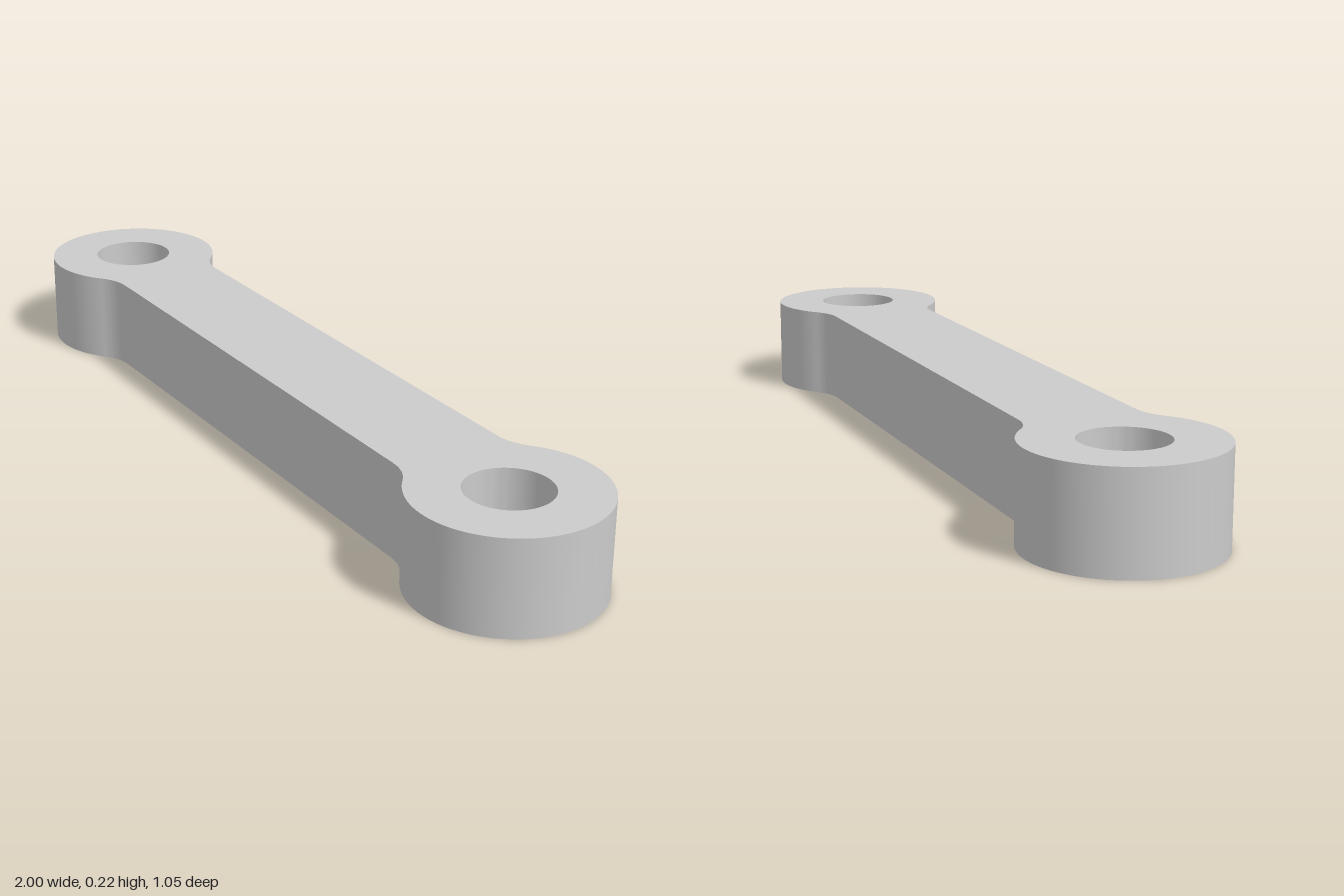
import * as THREE from 'three';
import { toCreasedNormals } from 'three/addons/utils/BufferGeometryUtils.js';

const HEIGHT = 0.22;
const EYE_X = 0.785, EYE_Z = 0.311;   // centre of one eye, the other is opposite
const EYE_R = 0.215, HOLE_R = 0.097;
const BAR_HALF = 0.133, FILLET = 0.12;

export function createModel() {
  const group = new THREE.Group();
  group.name = 'connectingLink';

  const reach = Math.hypot(EYE_X, EYE_Z);
  const fy = BAR_HALF + FILLET;                          // fillet centre, off the bar axis
  const a = Math.sqrt((EYE_R + FILLET) ** 2 - fy ** 2);  // fillet centre, along the bar from the eye
  const fx = reach - a;
  const beta = Math.atan2(fy, -a);

  // Outline along the bar axis: eye, fillet, straight edge, fillet, then the same turned half round
  const outline = new THREE.Shape();
  for (const [s, turn] of [[1, 0], [-1, Math.PI]]) {
    outline.absarc(s * reach, 0, EYE_R, turn - beta, turn + beta, false);
    outline.absarc(s * fx, s * fy, FILLET, turn + beta - Math.PI, turn - Math.PI / 2, true);
    outline.absarc(-s * fx, s * fy, FILLET, turn - Math.PI / 2, turn - beta, true);
  }

  // Pin holes
  for (const s of [1, -1]) {
    const hole = new THREE.Path();
    hole.absarc(s * reach, 0, HOLE_R, 0, Math.PI * 2, true);
    outline.holes.push(hole);
  }

  // Lay the extrusion flat and swing it to its diagonal
  const body = new THREE.ExtrudeGeometry(outline, { depth: HEIGHT, bevelEnabled: false, curveSegments: 32 });
  body.rotateX(-Math.PI / 2);
  body.rotateY(-Math.atan2(EYE_Z, EYE_X));

  const link = new THREE.Mesh(
    toCreasedNormals(body, Math.PI / 6),
    new THREE.MeshStandardMaterial({ color: 0xcccccc })
  );
  link.name = 'linkArm';
  group.add(link);
  return group;
}
